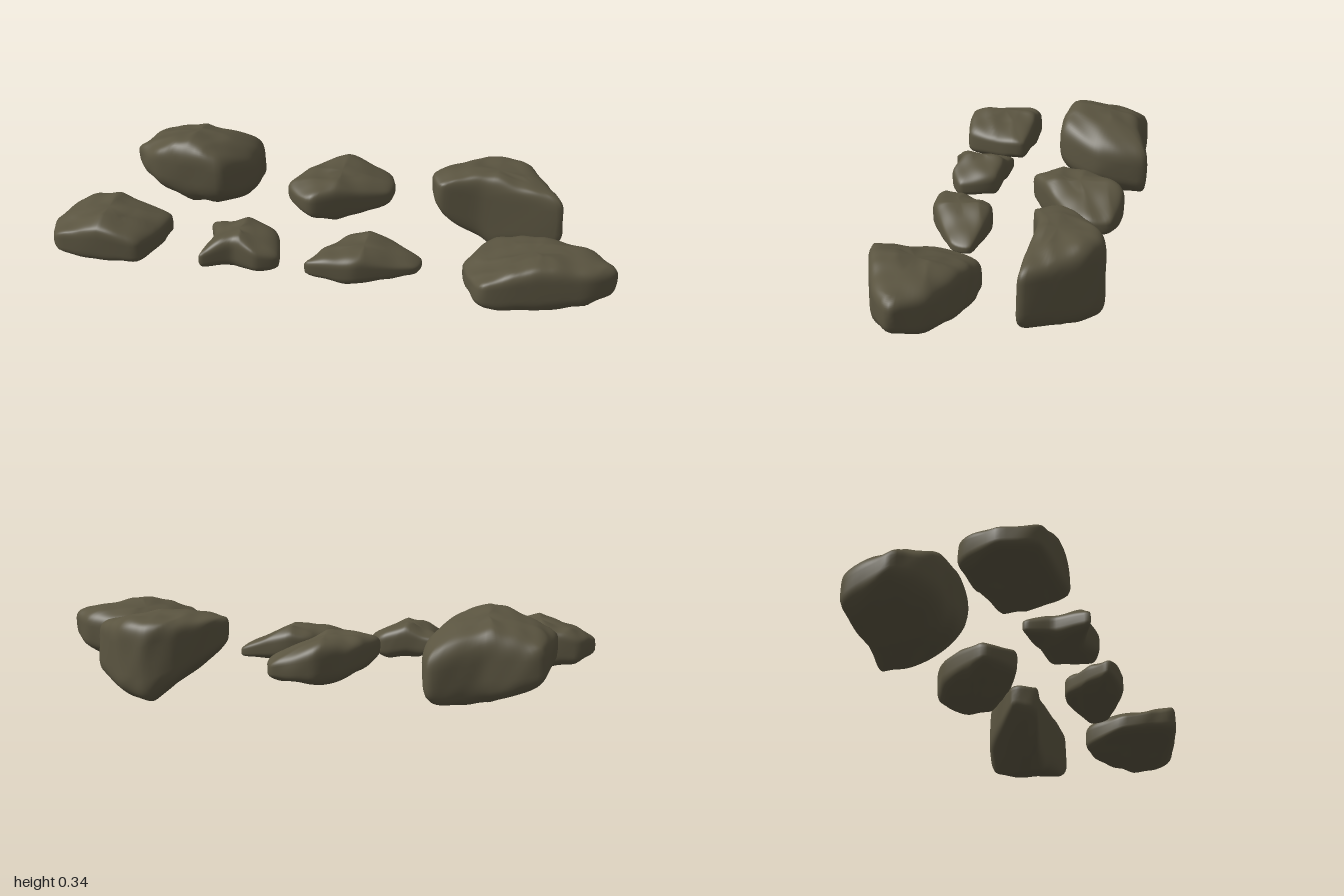
import * as THREE from 'three';
import { mergeVertices } from 'three/addons/utils/BufferGeometryUtils.js';

const COLUMNS = 72;
const ROWS = 40;
const ROUGHNESS = 0.01;

// Each rock: a few plan corners [x, z], [bottom, top] heights at its left, middle
// and right, squareness (lower is blockier) and tilt (rise towards the front)
const ROCKS = [
  { name: 'largeRoundedRock', square: 0.56, tilt: 0.18,
    corners: [[-.83, -.18], [-.77, -.38], [-.57, -.38], [-.39, -.41], [-.37, -.22], [-.47, -.06], [-.72, -.08]],
    heights: [[.13, .28], [.045, .33], [.04, .27]] },
  { name: 'craggyMiddleRock', square: 0.5, tilt: 0,
    corners: [[-.22, -.1], [-.13, -.29], [-.01, -.36], [.145, -.33], [.15, -.2], [-.11, -.01]],
    heights: [[.12, .225], [.07, .24], [.085, .17]] },
  { name: 'tallWedgeRock', square: 0.38, tilt: 0,
    corners: [[.31, -.18], [.47, -.33], [.58, -.36], [.68, -.3], [.8, -.11], [.5, -.12], [.35, -.09]],
    heights: [[.17, .3], [0, .305], [.04, .27]] },
  { name: 'flatBlockRock', square: 0.42, tilt: 0,
    corners: [[-1, .23], [-.92, .085], [-.6, .11], [-.655, .35], [-.95, .355]],
    heights: [[.085, .175], [.06, .232], [.07, .17]] },
  { name: 'smallJaggedRock', square: 0.5, tilt: 0,
    corners: [[-.44, .12], [-.2, .145], [-.155, .28], [-.23, .325], [-.32, .305], [-.43, .35], [-.41, .22]],
    heights: [[.09, .16], [.075, .212], [.065, .16]] },
  { name: 'longLowRock', square: 0.48, tilt: 0,
    corners: [[-.06, .31], [.05, .12], [.14, .095], [.325, .135], [.31, .21], [.11, .32]],
    heights: [[.08, .16], [.063, .188], [.06, .115]] },
  { name: 'broadPointedRock', square: 0.44, tilt: 0.12,
    corners: [[.475, .22], [.56, .045], [.76, .07], [.92, .135], [1, .24], [.9, .32], [.56, .41]],
    heights: [[.085, .18], [.055, .255], [.085, .235]] },
];

// Weathered surface: broad swells with sharper ridges and some grain
function weathering(x, y, z) {
  const swell = Math.sin(17 * x + 9 * y + 3) * Math.sin(19 * z - 11 * y + 1);
  const ridge = 1 - 2 * Math.abs(Math.sin(13 * x - 12 * z + 18 * y + 2 * Math.sin(14 * z + 9 * x)));
  const grain = Math.sin(47 * x + 23 * z) * Math.sin(43 * y - 39 * z + 20 * x);
  return 0.6 * swell + 0.25 * ridge + 0.25 * grain;
}

const power = (v, p) => Math.sign(v) * Math.pow(Math.abs(v), p);

function rockGeometry({ corners, heights, square, tilt }) {
  const curve = new THREE.CatmullRomCurve3(
    corners.map(([x, z]) => new THREE.Vector3(x, 0, z)), true, 'catmullrom', 0.25);
  const ring = curve.getSpacedPoints(COLUMNS).slice(0, COLUMNS);
  const centre = ring.reduce((sum, p) => sum.add(p), new THREE.Vector3()).divideScalar(COLUMNS);
  const left = Math.min(...ring.map((p) => p.x));
  const right = Math.max(...ring.map((p) => p.x));

  // Rings of the outline, shrinking towards the underside and the crown
  const positions = [], index = [];
  for (let i = 0; i <= ROWS; i++) {
    const phi = -Math.PI / 2 + Math.PI * i / ROWS;
    const reach = i % ROWS === 0 ? 0 : power(Math.cos(phi), square);
    const lift = power(Math.sin(phi), square);
    for (const p of ring) {
      const x = THREE.MathUtils.lerp(centre.x, p.x, reach);
      const z = THREE.MathUtils.lerp(centre.z, p.z, reach);
      const along = 2 * (x - left) / (right - left);
      const half = along < 1 ? 0 : 1;
      const [bottom, top] = [0, 1].map((k) =>
        THREE.MathUtils.lerp(heights[half][k], heights[half + 1][k], along - half));
      const y = (bottom + top) / 2 + (top - bottom) / 2 * lift + tilt * (z - centre.z);
      // Wear mostly cuts inward, so the overall size holds
      const wear = ROUGHNESS * (weathering(x, y, z) - 0.3);
      const out = 1 + wear * 2.5 * reach;
      positions.push(
        centre.x + (x - centre.x) * out,
        y + wear * lift,
        centre.z + (z - centre.z) * out);
    }
  }
  for (let i = 0; i < ROWS; i++) {
    for (let j = 0; j < COLUMNS; j++) {
      const a = i * COLUMNS + j, b = a + COLUMNS;
      const c = i * COLUMNS + (j + 1) % COLUMNS, d = c + COLUMNS;
      if (i > 0) index.push(a, b, c);
      if (i < ROWS - 1) index.push(c, b, d);
    }
  }
  const geometry = new THREE.BufferGeometry();
  geometry.setAttribute('position', new THREE.Float32BufferAttribute(positions, 3));
  geometry.setIndex(index);
  const merged = mergeVertices(geometry, 1e-5);
  merged.computeVertexNormals();
  return merged;
}

export function createModel() {
  const stone = new THREE.MeshStandardMaterial({ color: 0x5a5440 });
  stone.name = 'mossy stone';
  const group = new THREE.Group();
  group.name = 'rocks';
  for (const rock of ROCKS) {
    const mesh = new THREE.Mesh(rockGeometry(rock), stone);
    mesh.name = rock.name;
    group.add(mesh);
  }
  return group;
}
